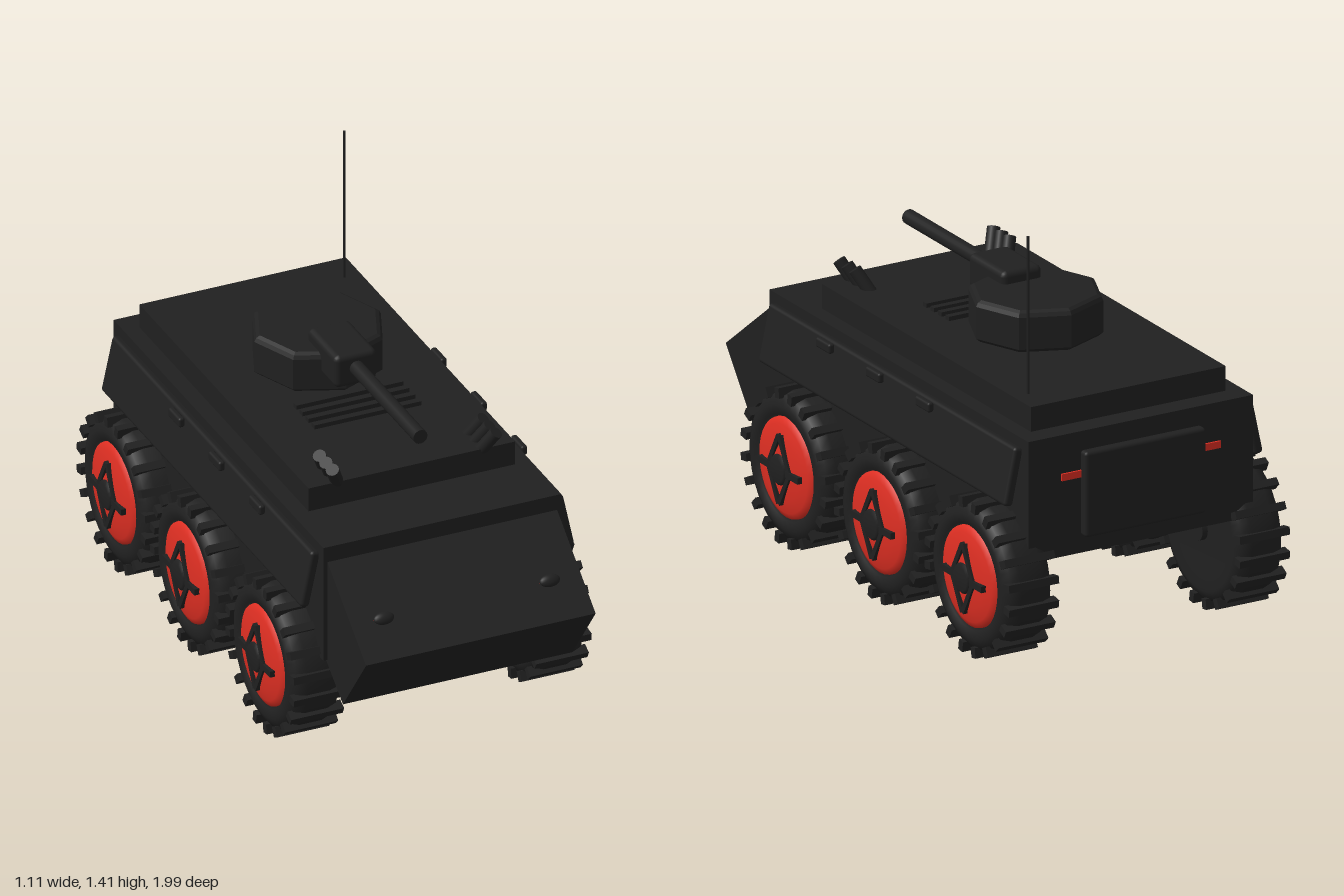
import * as THREE from 'three';
import { RoundedBoxGeometry } from 'three/addons/geometries/RoundedBoxGeometry.js';

const black = new THREE.MeshStandardMaterial({ color: 0x202020 });
black.name = 'charcoal paint';
const red = new THREE.MeshStandardMaterial({ color: 0xdc2e22 });
red.name = 'red paint';

function add(parent, name, geo, mat, x = 0, y = 0, z = 0) {
  const m = new THREE.Mesh(geo, mat);
  m.name = name;
  m.position.set(x, y, z);
  parent.add(m);
  return m;
}
const box = (w, h, d) => new THREE.BoxGeometry(w, h, d);
const rbox = (w, h, d, r) => new RoundedBoxGeometry(w, h, d, 2, r);
const cyl = (r, h, n = 20) => new THREE.CylinderGeometry(r, r, h, n);
const lathe = (pts, n) => new THREE.LatheGeometry(pts.map(p => new THREE.Vector2(...p)), n);

// Wheel with its axle along local y, outer face at +y
function makeWheel() {
  const g = new THREE.Group();
  g.name = 'wheel';
  add(g, 'tyre', lathe([[0, -.08], [.17, -.08], [.21, -.088], [.243, -.075], [.256, -.04],
    [.256, .04], [.243, .075], [.21, .09], [.178, .085], [.168, .068], [0, .068]], 36), black);
  // Tread lugs wrapped around the rim
  const n = 20;
  for (let i = 0; i < n; i++) {
    const a = (i + .5) / n * Math.PI * 2;
    const lug = add(g, 'treadLug', box(.035, .188, .026), black, Math.cos(a) * .252, 0, Math.sin(a) * .252);
    lug.rotation.y = -a;
  }
  add(g, 'wheelDisc', lathe([[.172, .07], [.17, .082], [.15, .092], [.11, .101], [.06, .107], [0, .109]], 36), red);
  add(g, 'hubCap', lathe([[.052, .09], [.052, .112], [.042, .121], [0, .122]], 20), black);
  add(g, 'innerHub', cyl(.04, .03), black, 0, -.085, 0);
  // Horizontal spokes and the diamond frame
  add(g, 'spoke', box(.022, .018, .25), black, 0, .106, 0);
  for (const sx of [-1, 1]) for (const sz of [-1, 1]) {
    const strut = add(g, 'diamondStrut', box(.13, .018, .018), black, sx * .06, .105, sz * .033);
    strut.rotation.y = sx * sz * .5;
  }
  return g;
}

export function createModel() {
  const model = new THREE.Group();
  model.name = 'armouredCar';

  // Hull, wedge nose and raised deck
  add(model, 'hull', box(.846, .42, 1.63), black, 0, .575, -.115);
  const wedge = new THREE.Shape([[1, .5], [.66, .76], [.66, .38], [.82, .262]].map(p => new THREE.Vector2(...p)));
  const noseGeo = new THREE.ExtrudeGeometry(wedge, { depth: .816, bevelEnabled: false });
  noseGeo.rotateY(-Math.PI / 2).translate(.408, 0, 0);
  add(model, 'nose', noseGeo, black);
  add(model, 'deck', box(.734, .09, 1.315), black, 0, .825, -.195);
  for (let i = 0; i < 4; i++) add(model, 'grilleBar', box(.38, .02, .022), black, 0, .875, -.03 + i * .047);

  // Eight-sided turret with softened rims
  add(model, 'turretRing', cyl(.16, .03, 24), black, 0, .875, -.27);
  const turretGeo = lathe([[0, .877], [.21, .877], [.225, .89], [.225, 1.0], [.218, 1.013], [.205, 1.02], [0, 1.02]], 8).toNonIndexed();
  turretGeo.computeVertexNormals();
  add(model, 'turret', turretGeo, black, 0, 0, -.27);
  add(model, 'mantlet', rbox(.15, .118, .225, .02), black, 0, 1.002, -.078);
  add(model, 'gunBarrel', cyl(.025, .55), black, 0, 1.01, .255).rotation.x = Math.PI / 2;
  add(model, 'antenna', cyl(.005, .55, 8), black, .31, 1.138, -.74);

  // Rear door
  add(model, 'rearDoor', rbox(.455, .295, .04, .012), black, 0, .573, -.946);

  for (const s of [-1, 1]) {
    // Sloped side armour with its grips and stripe
    const panel = add(model, 'sidePanel', rbox(.034, .2, 1.555, .012), black, s * .452, .655, -.112);
    panel.rotation.z = s * .21;
    for (const z of [.278, -.035, -.347]) add(model, 'panelGrip', rbox(.022, .034, .088, .008), black, s * .466, .737, z);
    add(model, 'sideStripe', box(.008, .012, 1.31), red, s * .425, .547, -.115);
    for (const z of [.44, -.15, -.72]) for (const d of [-.04, .04]) {
      add(model, 'panelBracket', box(.02, .04, .02), black, s * .427, .54, z + d);
    }

    // Headlight seated on the nose slope, with a hood
    const lamp = new THREE.Group();
    lamp.name = 'headlight';
    lamp.position.set(s * .295, .588, .884);
    lamp.rotation.x = .916;
    add(lamp, 'lampLens', new THREE.SphereGeometry(.034, 20, 12), red).scale.set(1, .6, .5);
    add(lamp, 'lampHood', new THREE.SphereGeometry(.036, 20, 8, 0, Math.PI * 2, 0, Math.PI / 2), black, 0, .008, 0).scale.set(1, .45, .6);
    model.add(lamp);
    add(model, 'tailLight', box(.075, .024, .01), red, s * .262, .64, -.932);

    // Smoke launchers tilted outward and forward
    for (let i = 0; i < 3; i++) {
      const tube = add(model, 'smokeLauncher', cyl(.022, .1, 16), black, s * .272, .892, .36 + i * .05);
      tube.rotation.set(.5, 0, -s * .4);
    }

    for (const z of [.437, -.15, -.72]) {
      const wheel = makeWheel();
      wheel.position.set(s * .435, .271, z);
      wheel.rotation.z = -s * Math.PI / 2;
      model.add(wheel);
    }
  }
  return model;
}
